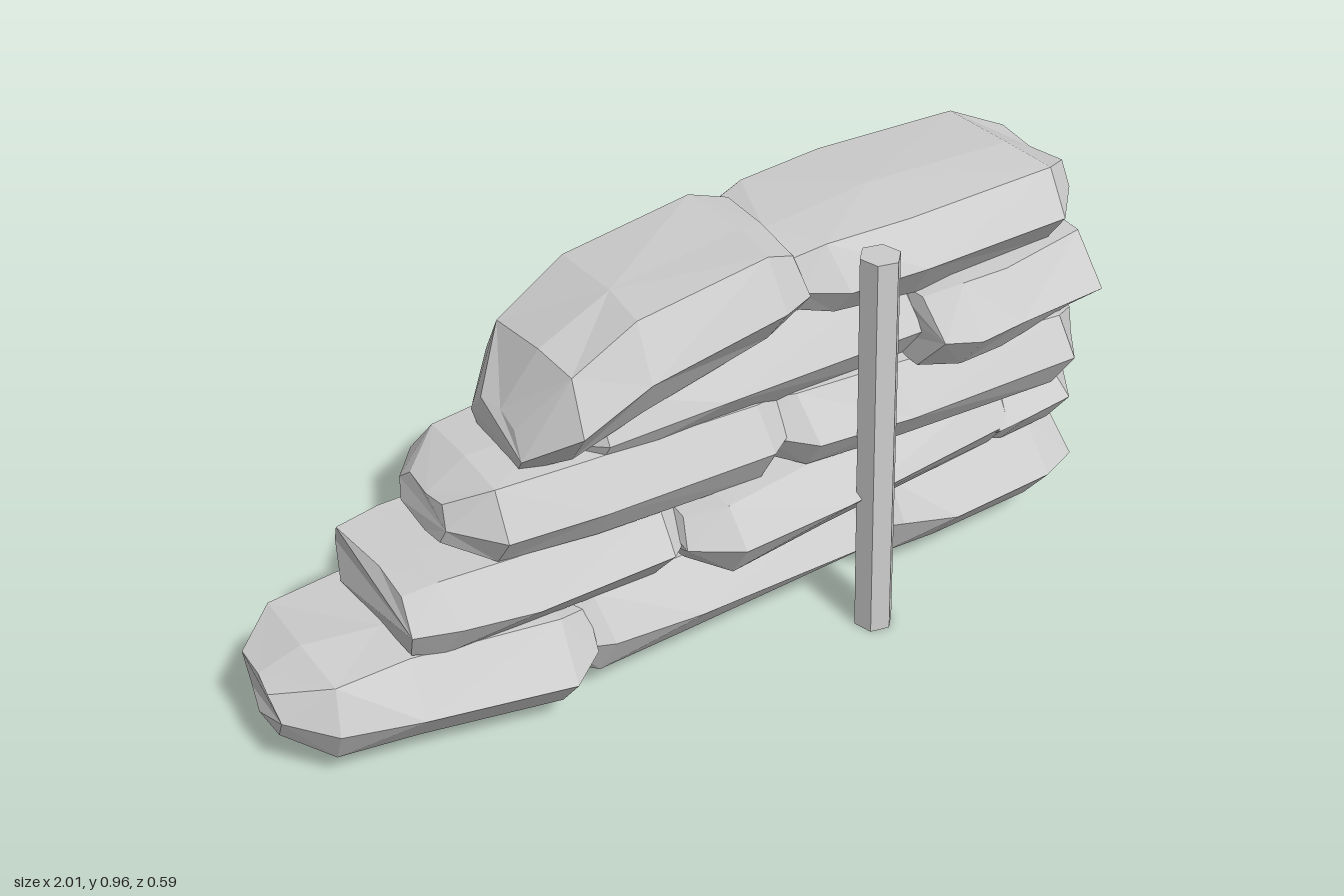
import * as THREE from 'three';

const material = new THREE.MeshStandardMaterial({ color: 0xcccccc, flatShading: true });

// Small seeded generator for the irregular, hand-filled look
function seeded(seed) {
  let s = seed * 7919 + 17;
  return () => ((s = (s * 16807) % 2147483647) / 2147483647) * 2 - 1;
}

// Eight-sided bag section: [height, depth] from -1 to 1, from the front ridge over the top
const SECTION = [[0, 1], [0.9, 0.68], [1, 0.1], [0.92, -0.7], [0, -1], [-0.9, -0.76], [-1, 0], [-0.92, 0.72]];

// Courses of bags: height range, then per bag
// [left x, right x, back z, front z at left, front z at right, left end size, right end size, slump]
const COURSES = [
  { bottom: 0.063, top: 0.275, bags: [
    [-0.99, -0.34, -0.295, 0.13, 0.27, 0.5, 0.7],
    [-0.4, 0.42, -0.285, 0.19, 0.2, 0.75, 0.7],
    [0.36, 0.945, -0.295, 0.21, 0.21, 0.75, 0.8],
  ] },
  { bottom: 0.25, top: 0.435, bags: [
    [-0.74, -0.08, -0.28, 0.18, 0.2, 0.85, 0.7],
    [-0.12, 0.82, -0.285, 0.28, 0.19, 0.7, 0.6],
    [0.62, 0.995, -0.3, 0.19, 0.19, 0.7, 0.5],
  ] },
  { bottom: 0.41, top: 0.615, bags: [
    [-0.615, 0.17, -0.265, 0.17, 0.22, 0.45, 0.65],
    [0.1, 0.92, -0.27, 0.22, 0.28, 0.65, 0.6],
  ] },
  { bottom: 0.58, top: 0.79, bags: [
    [-0.36, 0.54, -0.285, 0.15, 0.18, 0.45, 0.6, 0.07],
    [0.46, 0.985, -0.275, 0.32, 0.24, 0.78, 0.35],
  ] },
  { bottom: 0.763, top: 0.948, bags: [
    [-0.445, 0.18, -0.235, 0.18, 0.21, 0.48, 0.75, 0.22],
    [0.165, 0.91, -0.27, 0.21, 0.21, 0.78, 0.6],
  ] },
];

// Lofts one bag along x, full in the middle and drawn in at both ends
function makeBag({ bottom, top }, [x0, x1, back, front0, front1, end0, end1, slump = 0], seed) {
  const rand = seeded(seed);
  rand();
  const n = SECTION.length, pos = [], index = [];
  const width = x1 - x0, tip = Math.min(0.085 / width, 0.25);
  const halfHeight = (top - bottom) / 2 * (1 + slump);
  const stations = [[0, end0], [tip, 0.96], [0.38, 1], [1 - tip, 0.97], [1, end1]];
  for (const [t, size] of stations) {
    const front = front0 + (front1 - front0) * t;
    const midY = (bottom + top) / 2 - slump * (1 - t) ** 3;
    const midZ = (front + back) / 2;
    for (const [h, d] of SECTION) {
      pos.push(
        x0 + width * t + rand() * 0.012,
        midY + h * size * halfHeight + rand() * 0.008,
        midZ + d * size * (front - back) / 2 + rand() * 0.015,
      );
    }
  }
  for (let i = 0; i < stations.length - 1; i++) {
    for (let j = 0; j < n; j++) {
      const a = i * n + j, b = i * n + (j + 1) % n, c = a + n, d = b + n;
      if ((i + j) % 2) index.push(a, c, b, b, c, d);
      else index.push(a, c, d, a, d, b);
    }
  }
  // Flat ends
  const last = (stations.length - 1) * n;
  for (let j = 1; j < n - 1; j++) index.push(0, j, j + 1, last, last + j + 1, last + j);

  const indexed = new THREE.BufferGeometry();
  indexed.setAttribute('position', new THREE.Float32BufferAttribute(pos, 3));
  indexed.setIndex(index);
  const geometry = indexed.toNonIndexed();
  geometry.computeVertexNormals();
  return new THREE.Mesh(geometry, material);
}

// Leaning six-sided stake in front of the pile
function makePost() {
  const height = 0.935;
  const geometry = new THREE.CylinderGeometry(0.045, 0.045, height, 6);
  geometry.rotateY(0.3);
  geometry.translate(0, height / 2, 0);
  const p = geometry.attributes.position;
  for (let i = 0; i < p.count; i++) {
    const t = p.getY(i) / height;
    p.setX(i, p.getX(i) + 0.323 - 0.015 * t);
    p.setZ(i, p.getZ(i) + 0.25 - 0.03 * t);
  }
  geometry.computeVertexNormals();
  const mesh = new THREE.Mesh(geometry, material);
  mesh.name = 'post';
  return mesh;
}

export function createModel() {
  const model = new THREE.Group();
  model.name = 'sandbagWall';
  COURSES.forEach((course, row) => {
    const group = new THREE.Group();
    group.name = `course${row + 1}`;
    course.bags.forEach((bag, i) => {
      const mesh = makeBag(course, bag, row * 5 + i + 3);
      mesh.name = `sandbag${row + 1}_${i + 1}`;
      group.add(mesh);
    });
    model.add(group);
  });
  model.add(makePost());
  return model;
}
